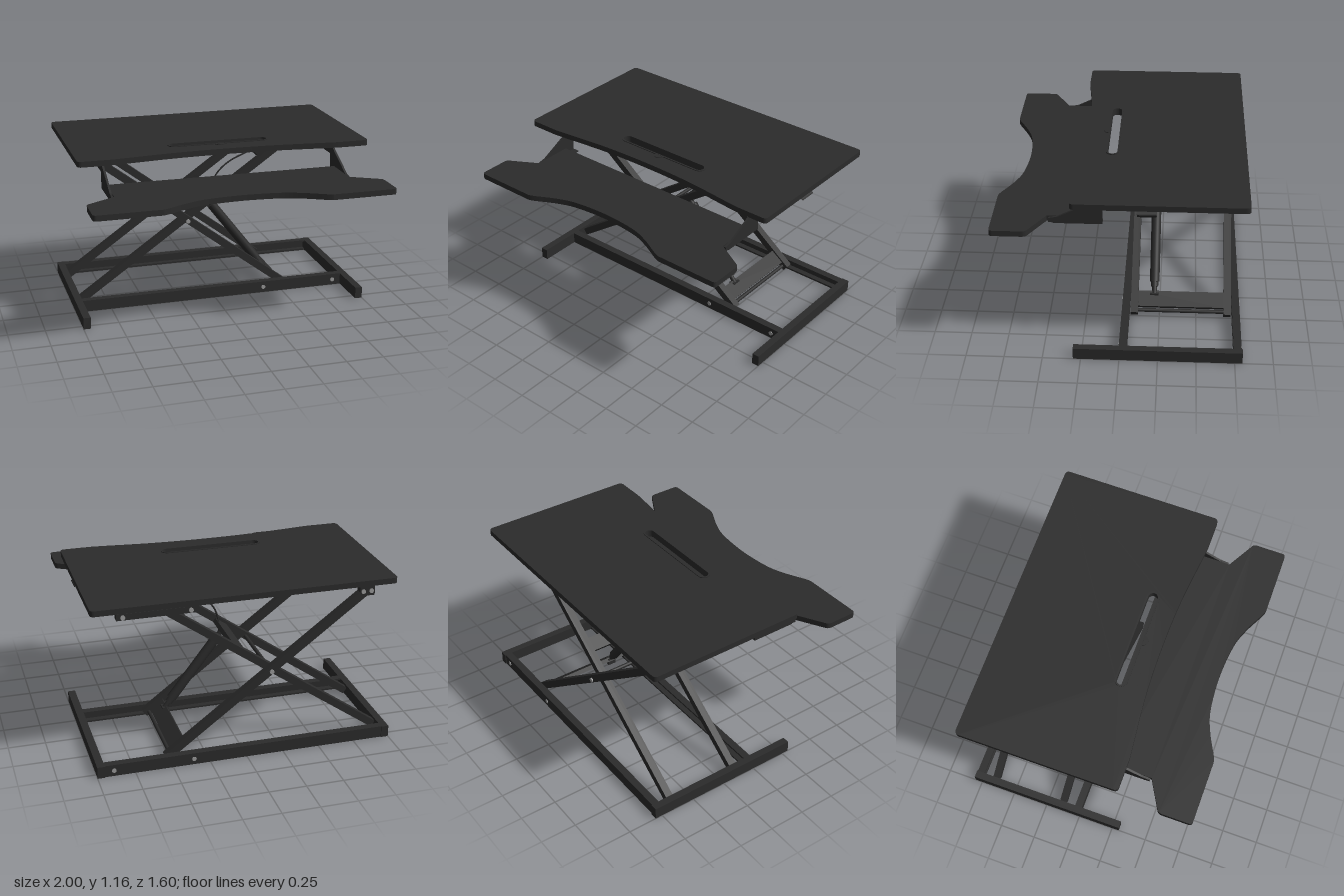
import * as THREE from 'three';

const frameMat = new THREE.MeshStandardMaterial({ color: 0x2b2b2b });
frameMat.name = 'charcoal';
const steelMat = new THREE.MeshStandardMaterial({ color: 0x999999 });
steelMat.name = 'steel';

const MID_Z = -0.395; // centre plane of the scissor lift

export function createModel() {
  const root = new THREE.Group();
  root.name = 'standingDeskConverter';

  function add(name, geo, mat = frameMat) {
    const m = new THREE.Mesh(geo, mat);
    m.name = name;
    root.add(m);
    return m;
  }
  // Box given by its extents
  function box(name, x0, x1, y0, y1, z0, z1) {
    return add(name, new THREE.BoxGeometry(x1 - x0, y1 - y0, z1 - z0)
      .translate((x0 + x1) / 2, (y0 + y1) / 2, (z0 + z1) / 2));
  }
  // Square bar in the xy plane between two points
  function beam(name, x0, y0, x1, y1, z, thick, depth) {
    const m = add(name, new THREE.BoxGeometry(Math.hypot(x1 - x0, y1 - y0), thick, depth));
    m.position.set((x0 + x1) / 2, (y0 + y1) / 2, z);
    m.rotation.z = Math.atan2(y1 - y0, x1 - x0);
    return m;
  }
  // Round bar between two points
  function rod(name, a, b, r, mat = frameMat, sides = 20) {
    const p = new THREE.Vector3(...a), q = new THREE.Vector3(...b), d = q.clone().sub(p);
    const m = add(name, new THREE.CylinderGeometry(r, r, d.length(), sides), mat);
    m.position.copy(p).add(q).multiplyScalar(0.5);
    m.quaternion.setFromUnitVectors(new THREE.Vector3(0, 1, 0), d.normalize());
    return m;
  }
  // Horizontal board from a shape drawn with y = -z
  function board(name, shape, y0, y1) {
    return add(name, new THREE.ExtrudeGeometry(shape, { depth: y1 - y0, bevelEnabled: false, curveSegments: 16 })
      .rotateX(-Math.PI / 2).translate(0, y0, 0));
  }
  // Slot with round ends
  function slot(path, hx, z0, z1) {
    const r = (z1 - z0) / 2, zc = -(z0 + z1) / 2;
    path.moveTo(-hx + r, zc - r);
    path.lineTo(hx - r, zc - r);
    path.absarc(hx - r, zc, r, -Math.PI / 2, Math.PI / 2, false);
    path.lineTo(-hx + r, zc + r);
    path.absarc(-hx + r, zc, r, Math.PI / 2, Math.PI * 1.5, false);
    return path;
  }
  const V = (x, z) => new THREE.Vector2(x, -z);

  // Desktop with a shallow curved front edge and a device slot
  const top = new THREE.Shape();
  top.moveTo(-0.97, -0.3);
  top.lineTo(-0.78, -0.3);
  top.splineThru([V(-0.7, 0.292), V(-0.35, 0.256), V(0, 0.245), V(0.35, 0.256), V(0.7, 0.292), V(0.78, 0.3)]);
  top.lineTo(0.97, -0.3);
  top.quadraticCurveTo(1, -0.3, 1, -0.27);
  top.lineTo(1, 0.77);
  top.quadraticCurveTo(1, 0.8, 0.97, 0.8);
  top.lineTo(-0.97, 0.8);
  top.quadraticCurveTo(-1, 0.8, -1, 0.77);
  top.lineTo(-1, -0.27);
  top.quadraticCurveTo(-1, -0.3, -0.97, -0.3);
  top.holes.push(slot(new THREE.Path(), 0.342, 0.038, 0.112));
  board('desktop', top, 1.122, 1.16);

  // Raised slot rim and cable notch ring
  const rim = slot(new THREE.Shape(), 0.35, 0.032, 0.118);
  rim.holes.push(slot(new THREE.Path(), 0.338, 0.043, 0.107));
  board('slotRim', rim, 1.115, 1.165);
  add('cableNotch', new THREE.CylinderGeometry(0.035, 0.035, 0.048, 24, 1, false, -Math.PI / 2, Math.PI)
    .translate(0, 1.14, 0.114));

  // Keyboard tray
  const tray = new THREE.Shape();
  tray.moveTo(-0.8, -0.19);
  tray.lineTo(-0.8, -0.46);
  tray.lineTo(-0.985, -0.565);
  tray.quadraticCurveTo(-1, -0.575, -1, -0.6);
  tray.lineTo(-1, -0.775);
  tray.quadraticCurveTo(-1, -0.8, -0.975, -0.8);
  tray.lineTo(-0.56, -0.8);
  tray.splineThru([V(-0.52, 0.785), V(-0.38, 0.715), V(-0.24, 0.671), V(0, 0.652),
    V(0.24, 0.671), V(0.38, 0.715), V(0.52, 0.785), V(0.56, 0.8)]);
  tray.lineTo(0.975, -0.8);
  tray.quadraticCurveTo(1, -0.8, 1, -0.775);
  tray.lineTo(1, -0.6);
  tray.quadraticCurveTo(1, -0.575, 0.985, -0.565);
  tray.lineTo(0.8, -0.46);
  tray.lineTo(0.8, -0.19);
  board('keyboardTray', tray, 0.922, 0.96);

  // Tray side brackets with flanges
  const arm = new THREE.Shape([[0.45, 0.92], [0.45, 0.95], [0.39, 0.962], [0.11, 1.1], [-0.11, 1.1],
    [-0.11, 1.03], [0.11, 1.03], [0.11, 0.92]].map(p => new THREE.Vector2(...p)));
  for (const s of [-1, 1]) {
    add('trayBracket', new THREE.ExtrudeGeometry(arm, { depth: 0.014, bevelEnabled: false })
      .rotateY(-Math.PI / 2).translate(s * 0.808 + 0.007, 0, 0));
    box('trayFlange', s * 0.785 - 0.03, s * 0.785 + 0.03, 0.915, 0.922, 0.11, 0.42);
  }

  // Base feet and channel rails
  for (const s of [-1, 1]) {
    box('baseFoot', s * 0.975 - 0.025, s * 0.975 + 0.025, 0, 0.08, -0.8, 0.3);
    const web = MID_Z + s * 0.393, lip = MID_Z + s * 0.348;
    const lo = Math.min(web, lip), hi = Math.max(web, lip);
    box('railWeb', -0.95, 0.95, 0, 0.08, web - 0.006, web + 0.006);
    box('railTopLip', -0.95, 0.95, 0.068, 0.08, lo, hi);
    box('railBottomLip', -0.95, 0.95, 0, 0.012, lo, hi);
    for (const x of [0.36, 0.89]) {
      rod('baseScrew', [x, 0.04, web], [x, 0.04, web + s * 0.011], 0.015, steelMat);
    }
  }

  // Scissor legs, upper mounts and slide rails on both sides
  for (const s of [-1, 1]) {
    const outer = MID_Z + s * 0.315, inner = MID_Z + s * 0.257, face = outer + s * 0.025;
    beam('outerLeg', -0.83, 1.07, 0.53, 0.04, outer, 0.05, 0.05);
    beam('innerLeg', -0.94, 0.04, 0.52, 1.065, inner, 0.05, 0.05);
    box('legMount', -0.87, -0.77, 1.03, 1.1, outer - 0.025, outer + 0.025);
    box('legMountPost', -0.842, -0.8, 1.1, 1.122, outer - 0.025, outer + 0.025);
    box('slideRail', 0.33, 0.83, 1.05, 1.092, outer - 0.025, outer + 0.025);
    for (const x of [0.357, 0.79]) {
      box('slideRailPost', x - 0.02, x + 0.02, 1.05, 1.122, outer - 0.025, outer + 0.025);
    }
    for (const [x, y] of [[-0.845, 1.062], [-0.79, 1.062], [0.357, 1.07], [0.79, 1.07], [-0.18, 0.57]]) {
      rod('screwHead', [x, y, face], [x, y, face + s * 0.009], 0.015, steelMat);
    }
  }
  rod('centrePivot', [-0.18, 0.57, MID_Z - 0.335], [-0.18, 0.57, MID_Z + 0.335], 0.013);
  rod('slideAxle', [0.52, 1.07, MID_Z - 0.3], [0.52, 1.07, MID_Z + 0.3], 0.017, steelMat);
  rod('upperPivot', [-0.82, 1.062, MID_Z - 0.3], [-0.82, 1.062, MID_Z + 0.3], 0.013);
  rod('lowerAxle', [0.5, 0.05, MID_Z - 0.34], [0.5, 0.05, MID_Z + 0.34], 0.013);

  // Cross members between the legs
  beam('lowerCrossMember', 0.4, 0.135, 0.49, 0.07, MID_Z, 0.03, 0.58);
  beam('middleCrossMember', -0.035, 0.665, 0.045, 0.72, MID_Z, 0.03, 0.47);
  beam('upperCrossMember', 0.37, 0.965, 0.48, 1.04, MID_Z, 0.03, 0.47);

  // Gas spring with end fittings
  const gz = -0.213;
  rod('gasSpringBody', [0.365, 0.195, gz], [0.03, 0.632, gz], 0.033, frameMat, 28);
  rod('gasSpringRod', [0.42, 0.123, gz], [0.36, 0.2, gz], 0.016);
  rod('gasSpringCollar', [0.385, 0.168, gz], [0.36, 0.2, gz], 0.025);
  rod('gasSpringTop', [0.035, 0.625, gz], [0, 0.67, gz], 0.018);
  box('gasSpringFoot', 0.395, 0.435, 0.09, 0.14, gz - 0.03, gz + 0.03);

  // Release cable
  const cable = new THREE.CatmullRomCurve3([[0.025, 0.64, gz], [0.03, 0.74, gz], [0.065, 0.84, gz],
    [0.15, 0.925, gz], [0.3, 1.0, -0.2], [0.6, 1.1, -0.17], [0.88, 1.06, -0.17]].map(p => new THREE.Vector3(...p)));
  add('releaseCable', new THREE.TubeGeometry(cable, 48, 0.006, 8));

  // Curved release lever sheet under the right edge
  const mid = new THREE.SplineCurve([[0.865, 1.045], [0.885, 1.025], [0.91, 1.04], [0.93, 1.09], [0.96, 1.115], [0.995, 1.1]]
    .map(p => new THREE.Vector2(...p))).getPoints(24);
  const lower = mid.map(p => new THREE.Vector2(p.x + 0.003, p.y - 0.005)).reverse();
  add('releaseLever', new THREE.ExtrudeGeometry(new THREE.Shape([...lower, ...mid]), { depth: 0.12, bevelEnabled: false })
    .translate(0, 0, -0.23));

  return root;
}
